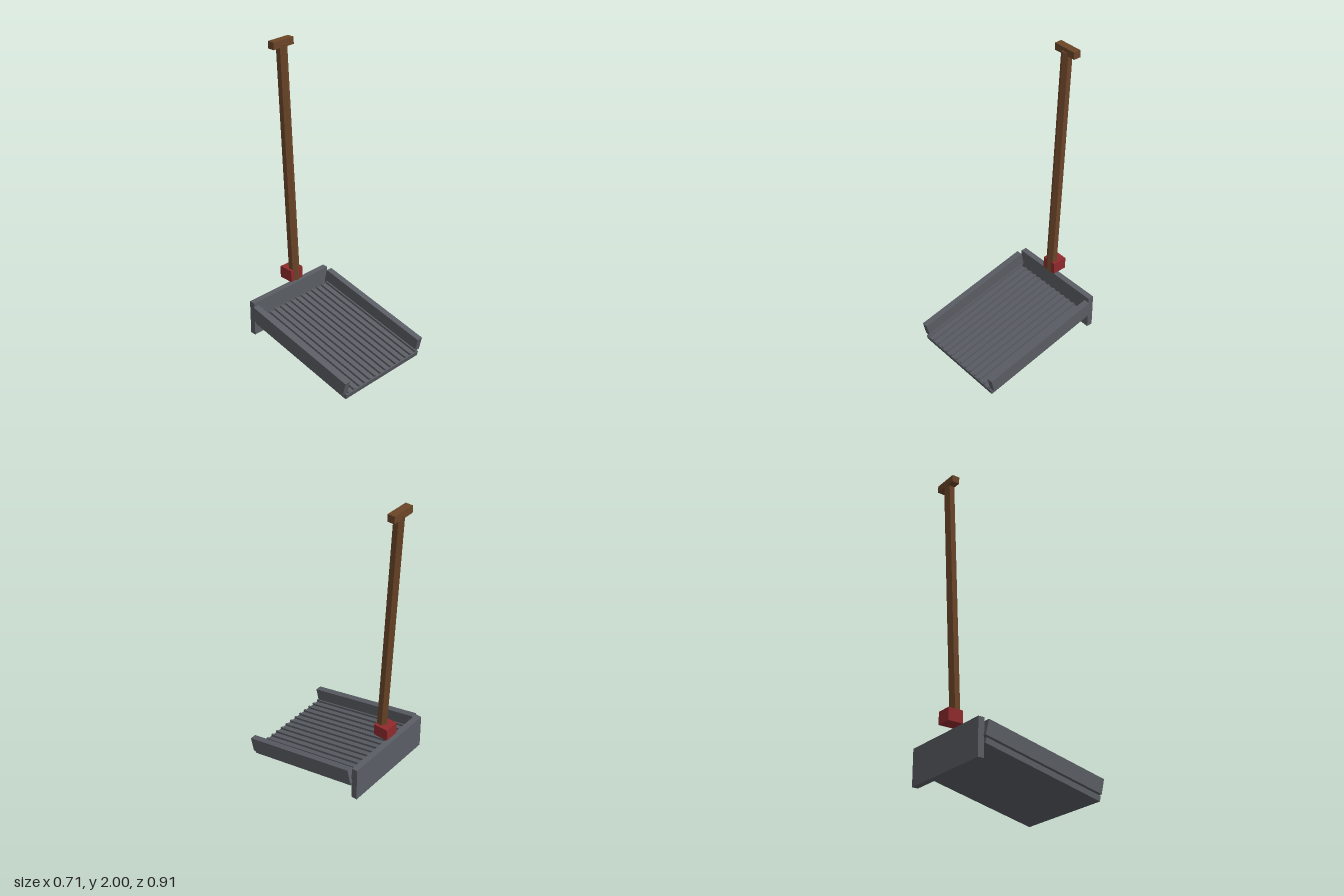
import * as THREE from 'three';

export function createModel() {
  const model = new THREE.Group();
  model.name = 'shovel';

  const material = (name, color) => {
    const m = new THREE.MeshStandardMaterial({ color });
    m.name = name;
    return m;
  };
  const steel = material('grey steel', 0x5a5d64);
  const wood = material('brown wood', 0x6b4528);
  const red = material('red paint', 0x902a2d);

  const box = (name, size, position, mat, parent = model) => {
    const mesh = new THREE.Mesh(new THREE.BoxGeometry(...size), mat);
    mesh.name = name;
    mesh.position.set(...position);
    parent.add(mesh);
    return mesh;
  };

  // Sloping pan: its front edge rests on the ground
  const tilt = 0.225;
  const pan = new THREE.Group();
  pan.name = 'pan';
  pan.position.set(0, 0.109, 0.044);
  pan.rotation.x = tilt;
  model.add(pan);
  box('panFloor', [0.664, 0.035, 0.825], [0, 0, 0], steel, pan);

  // Raised ribs along the floor
  for (let i = 0; i < 14; i++) {
    box('rib', [0.0135, 0.02, 0.82], [(i - 6.5) * 0.0475, 0.0225, -0.003], steel, pan);
  }

  // Side walls
  for (const side of [-1, 1]) {
    const wall = box('sideWall', [0.042, 0.097, 0.835], [side * 0.333, 0.177, 0.0425], steel);
    wall.rotation.x = tilt;
  }

  // Upright back wall
  box('backWall', [0.664, 0.235, 0.04], [0, 0.212, -0.39], steel);

  // Handle socket
  box('socket', [0.1, 0.08, 0.1], [0, 0.43, -0.37], red);

  // Six-sided shaft leaning backwards
  const shaft = new THREE.Mesh(new THREE.CylinderGeometry(0.035, 0.035, 1.585, 6).toNonIndexed(), wood);
  shaft.geometry.computeVertexNormals();
  shaft.name = 'shaft';
  shaft.position.set(0, 1.183, -0.38);
  shaft.rotation.x = -0.05;
  model.add(shaft);

  // Cross grip
  box('grip', [0.164, 0.046, 0.049], [0, 1.977, -0.424], wood);

  return model;
}
